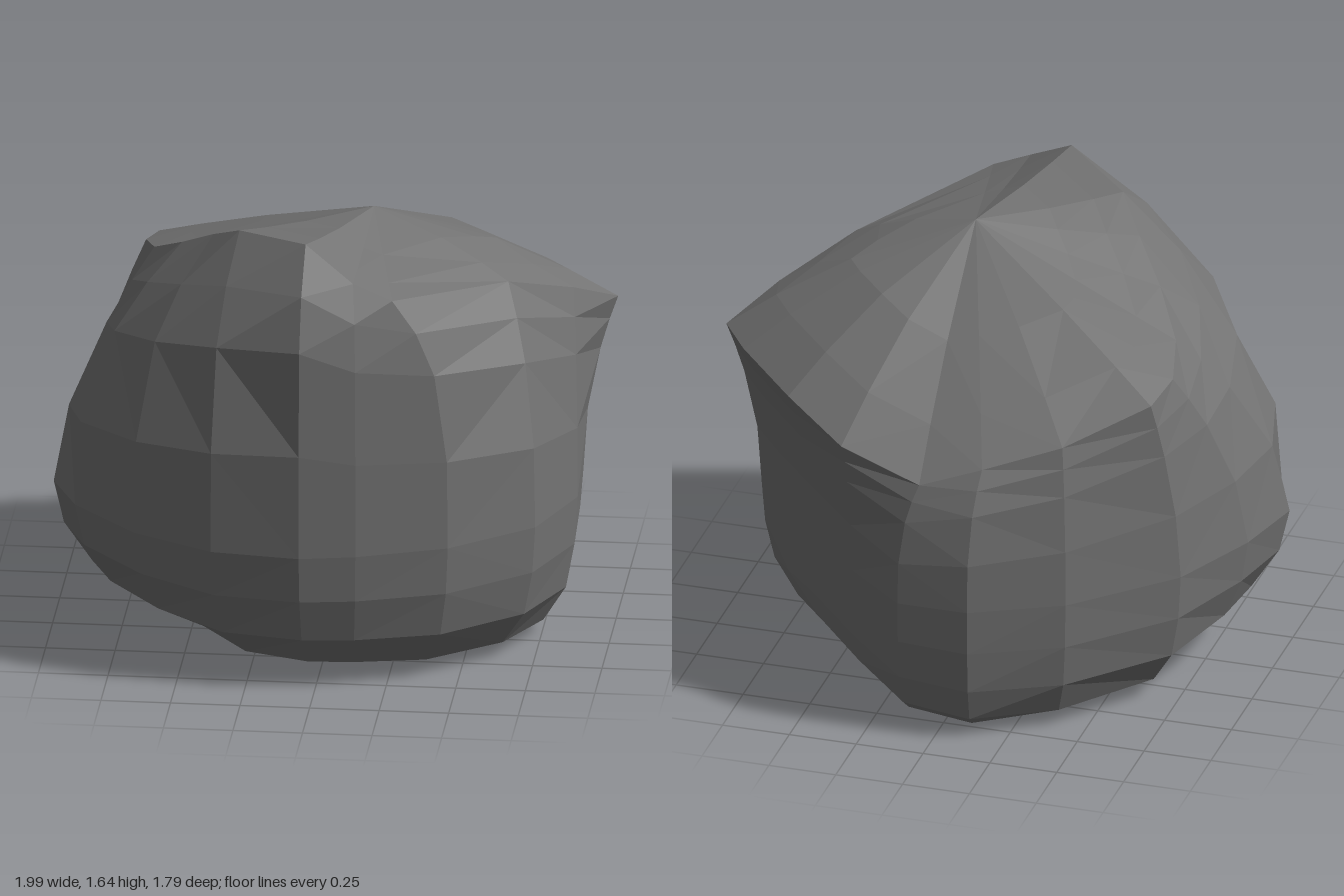
import * as THREE from 'three';

// Columns around the boulder, from +x through +z:
// waist x, waist z, rim x, rim y, rim z, shoulder fullness, underside lift, underside fullness
const COLUMNS = [
  [0.87, -0.13, 0.99, 1.17, -0.17, 2, 0.08, 0.3],
  [0.88, 0.18, 0.85, 1.27, 0.02, 2.4, 0.0, 0.35],
  [0.76, 0.50, 0.64, 1.38, 0.27, 2.8, 0.01, 0.25],
  [0.47, 0.74, 0.27, 1.47, 0.74, 4, 0, 0.1],
  [0.15, 0.86, 0.13, 1.53, 0.74, 6, 0.01, 0],
  [-0.05, 0.90, -0.05, 1.64, 0.65, 7, 0.02, 0],
  [-0.37, 0.86, -0.31, 1.60, 0.43, 4.5, 0.02, -0.25],
  [-0.66, 0.70, -0.42, 1.52, 0.27, 3.8, 0.05, -0.55],
  [-0.90, 0.44, -0.55, 1.42, 0.10, 2.8, 0.06, -0.8],
  [-1.00, 0.21, -0.67, 1.32, -0.10, 1.8, 0.06, -0.8],
  [-0.93, -0.07, -0.72, 1.27, -0.30, 1.7, 0.06, -0.3],
  [-0.78, -0.40, -0.69, 1.24, -0.47, 1.7, 0.03, 0.3],
  [-0.45, -0.73, -0.42, 1.13, -0.67, 2.5, 0.02, 0.5],
  [-0.13, -0.89, -0.15, 1.05, -0.77, 3, 0.03, 0.7],
  [0.13, -0.89, 0.07, 0.98, -0.82, 3, 0.07, 0.75],
  [0.36, -0.69, 0.38, 1.06, -0.76, 2, 0.12, 0.8],
  [0.57, -0.48, 0.63, 1.14, -0.59, 2, 0.17, 0.85],
  [0.74, -0.29, 0.88, 1.16, -0.32, 2, 0.14, 0.7],
];
const WAIST = 0.53;
const LOWER = [[0, 0.58], [0.045, 0.78], [0.18, 0.925], [0.35, 0.98]]; // height, scale
const SHOULDER = [0, 0.35, 0.7, 0.87, 1]; // waist to rim
const TOP = [0.2, 0.5]; // rim to top centre
const TOP_CENTRE = [0.14, 1.585, 0.1];
const BASE_CENTRE = [0, 0.1, -0.1];
const lerp = THREE.MathUtils.lerp;

function buildRings() {
  const rings = [];
  // Underside curving in from the waist
  for (const [h, s] of LOWER) {
    rings.push(COLUMNS.map(([x, z, , , , , lift, full]) => {
      const k = lerp(s, 1, full);
      return [x * k, lerp(h, WAIST, lift / WAIST), z * k];
    }));
  }
  // Sides rising from the waist to the rim
  for (const u of SHOULDER) {
    rings.push(COLUMNS.map(([x, z, rx, ry, rz, p]) => {
      const w = u ** p;
      return [lerp(x, rx, w), lerp(WAIST, ry, u), lerp(z, rz, w)];
    }));
  }
  // Sloping top, domed towards the back and the +x side
  for (const t of TOP) {
    rings.push(COLUMNS.map(([, , rx, ry, rz]) => [
      lerp(rx, TOP_CENTRE[0], t),
      lerp(ry, TOP_CENTRE[1], t) + (0.06 - 0.15 * rz + 0.12 * rx) * t * (1 - t),
      lerp(rz, TOP_CENTRE[2], t),
    ]));
  }
  return rings;
}

function loft(rings) {
  const n = COLUMNS.length;
  const positions = rings.flat(2).concat(BASE_CENTRE, TOP_CENTRE);
  const base = rings.length * n;
  const top = base + 1;
  const last = base - n;
  const point = (i) => new THREE.Vector3().fromArray(positions, i * 3);
  const index = [];
  for (let i = 0; i < n; i++) {
    const j = (i + 1) % n;
    for (let r = 0; r < rings.length - 1; r++) {
      const a = r * n + i, b = r * n + j, c = a + n, d = b + n;
      // Split each quad along its shorter diagonal
      if (point(b).distanceTo(point(c)) < point(a).distanceTo(point(d))) {
        index.push(a, c, b, b, c, d);
      } else {
        index.push(a, c, d, a, d, b);
      }
    }
    index.push(base, i, j, last + i, top, last + j);
  }
  const geometry = new THREE.BufferGeometry();
  geometry.setAttribute('position', new THREE.Float32BufferAttribute(positions, 3));
  geometry.setIndex(index);
  geometry.computeVertexNormals();
  return geometry;
}

export function createModel() {
  const group = new THREE.Group();
  group.name = 'rock';
  const material = new THREE.MeshStandardMaterial({ color: 0x737373, flatShading: true });
  const boulder = new THREE.Mesh(loft(buildRings()), material);
  boulder.name = 'boulder';
  group.add(boulder);
  return group;
}
